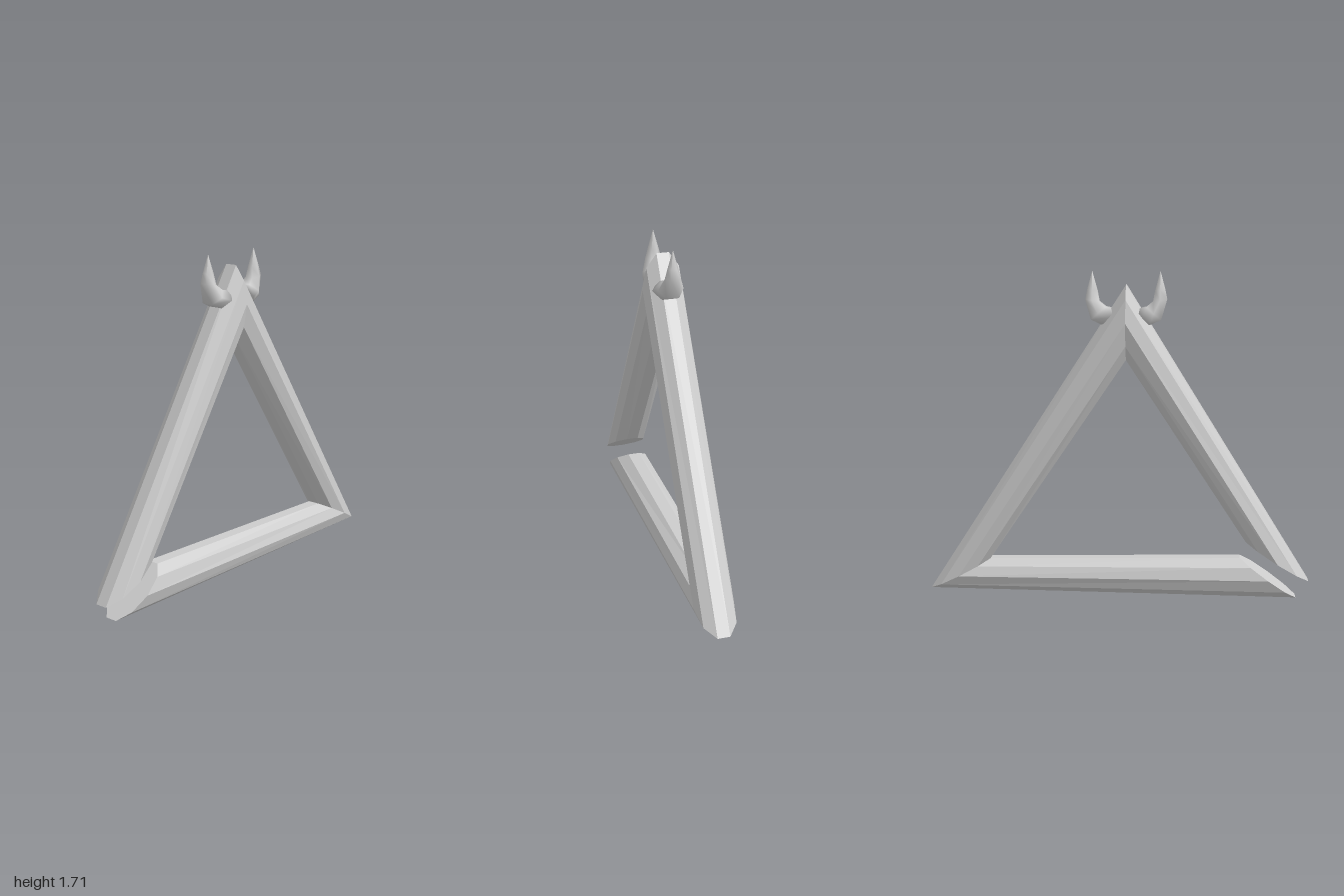
import * as THREE from 'three';

// Lofts an n-sided tube through stations given as
// [outerZ, outerY, innerZ, innerY, halfWidth]
function loft(stations, n, capStart, capEnd) {
  const pos = [], index = [];
  for (const [oz, oy, iz, iy, w] of stations) {
    for (let k = 0; k < n; k++) {
      const a = ((k + 0.5) / n) * Math.PI * 2;
      const t = (1 - Math.cos(a) / Math.cos(Math.PI / n)) / 2;
      pos.push(w * Math.sin(a), oy + (iy - oy) * t, oz + (iz - oz) * t);
    }
  }
  for (let s = 0; s < stations.length - 1; s++) {
    for (let k = 0; k < n; k++) {
      const a = s * n + k, b = s * n + ((k + 1) % n);
      index.push(a, b, a + n, b, b + n, a + n);
    }
  }
  // Flat end caps as triangle fans
  const last = (stations.length - 1) * n;
  for (let k = 1; k < n - 1; k++) {
    if (capStart) index.push(0, k + 1, k);
    if (capEnd) index.push(last, last + k, last + k + 1);
  }
  const g = new THREE.BufferGeometry();
  g.setAttribute('position', new THREE.Float32BufferAttribute(pos, 3));
  g.setIndex(index);
  g.computeVertexNormals();
  return g;
}

export function createModel() {
  const model = new THREE.Group();
  model.name = 'hornedTriangle';
  const flat = new THREE.MeshStandardMaterial({ color: 0xcccccc, flatShading: true });
  const smooth = new THREE.MeshStandardMaterial({ color: 0xcccccc });

  // Mitred corners of the open triangular frame
  const R = 0.105;
  const frontEnd = [1, 0.09, 0.67, 0.295, R];
  const apex = [0.04, 1.635, 0.04, 1.25, R];
  const backCorner = [-1, 0.02, -0.68, 0.185, R];
  const baseEnd = [0.935, 0.0, 0.64, 0.21, R];

  const addBar = (name, from, to, capStart, capEnd) => {
    const bar = new THREE.Mesh(loft([from, to], 10, capStart, capEnd), flat);
    bar.name = name;
    model.add(bar);
  };
  addBar('frontLeg', frontEnd, apex, true, false);
  addBar('backLeg', apex, backCorner, false, false);
  addBar('baseBar', backCorner, baseEnd, false, true);

  // Curved horns on both sides of the apex
  const hornGeometry = loft([
    [0.12, 1.43, 0.05, 1.51, 0.08],
    [0.18, 1.457, 0.105, 1.522, 0.066],
    [0.21, 1.56, 0.138, 1.55, 0.042],
    [0.2, 1.61, 0.148, 1.605, 0.028],
    [0.175, 1.705, 0.175, 1.705, 0],
  ], 6, true, false);
  ['frontHorn', 'backHorn'].forEach((name, i) => {
    const horn = new THREE.Mesh(hornGeometry, smooth);
    horn.name = name;
    horn.position.z = 0.04;
    horn.rotation.y = i * Math.PI;
    model.add(horn);
  });

  return model;
}
